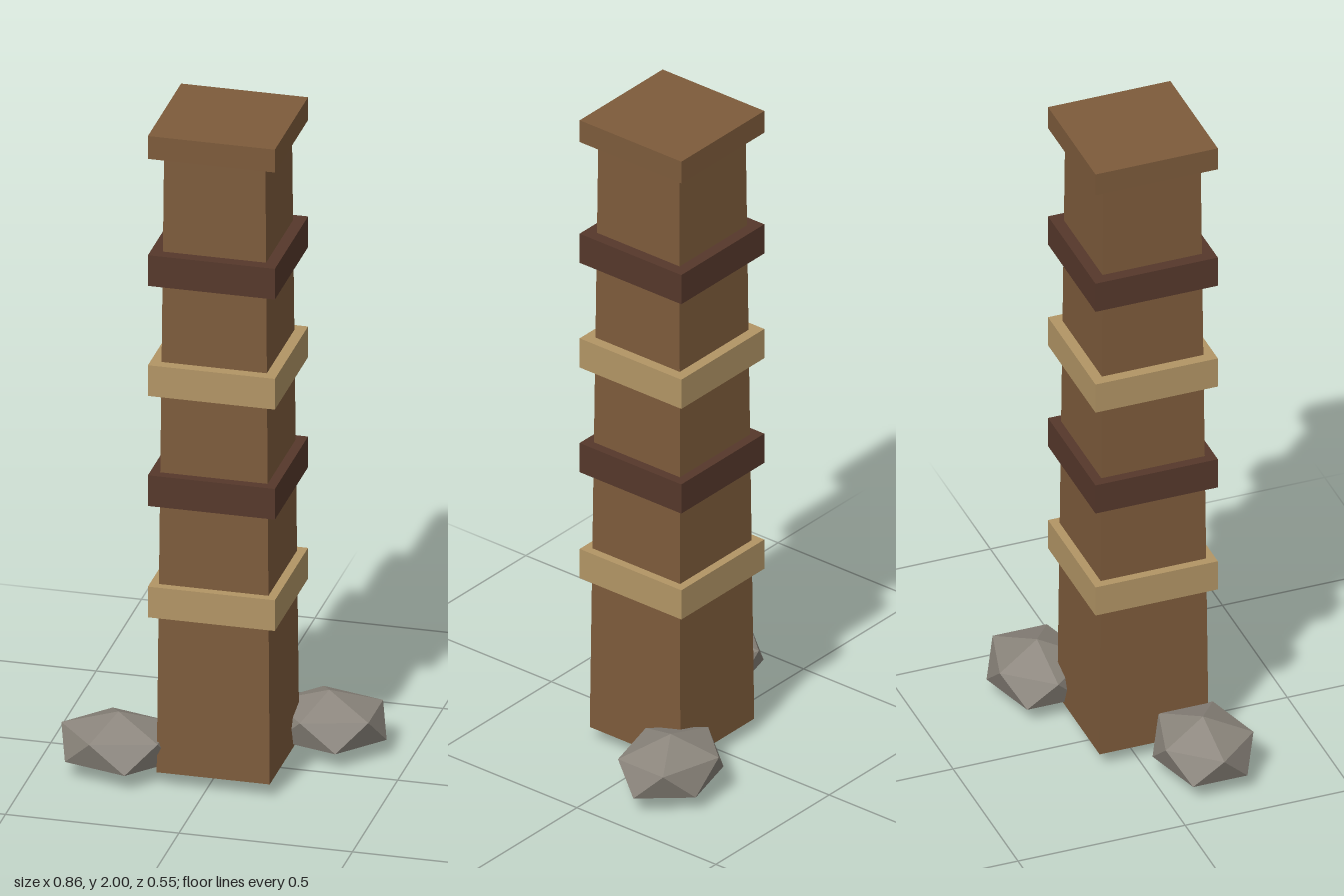
import * as THREE from 'three';
import { ConvexGeometry } from 'three/addons/geometries/ConvexGeometry.js';

export function createModel() {
  const group = new THREE.Group();
  const material = (name, color) => {
    const m = new THREE.MeshStandardMaterial({ color, flatShading: true });
    m.name = name;
    return m;
  };
  const wood = material('brown wood', 0x7d5b3b);
  const dark = material('dark wood', 0x56382b);
  const tan = material('tan wood', 0xb29565);
  const stone = material('grey stone', 0x8a847b);

  const add = (parent, name, geometry, mat, x, y, z) => {
    const mesh = new THREE.Mesh(geometry, mat);
    mesh.name = name;
    mesh.position.set(x, y, z);
    parent.add(mesh);
  };

  // Square pillar, set slightly off centre
  const pillar = new THREE.Group();
  pillar.name = 'pillar';
  pillar.position.set(0.023, 0, 0.047);
  group.add(pillar);

  // Tapered post: a four-sided cylinder turned square to the axes
  const bottom = 0.045, top = 1.94;
  const post = new THREE.CylinderGeometry(0.146 * Math.SQRT2, 0.163 * Math.SQRT2, top - bottom, 4)
    .rotateY(Math.PI / 4);
  add(pillar, 'post', post, wood, 0, (bottom + top) / 2, 0);

  // Cap and alternating bands
  const width = 0.366;
  add(pillar, 'cap', new THREE.BoxGeometry(width, 0.07, width), wood, 0, 1.965, 0);
  const band = new THREE.BoxGeometry(width, 0.094, width);
  [0.573, 0.914, 1.251, 1.588].forEach((y, i) => {
    add(pillar, i % 2 ? 'darkBand' : 'tanBand', band, i % 2 ? dark : tan, 0, y, 0);
  });

  // Flattened twenty-sided stones: two poles and two staggered rings of five
  const rx = 0.165, ry = 0.093, rz = 0.138;
  const points = [new THREE.Vector3(0, ry, 0), new THREE.Vector3(0, -ry, 0)];
  for (let i = 0; i < 5; i++) {
    const a = (i / 5) * Math.PI * 2;
    const x = rx * Math.cos(a), z = rz * Math.sin(a), y = ry * 0.447;
    points.push(new THREE.Vector3(-x, y, z), new THREE.Vector3(x, -y, z));
  }
  const rock = new ConvexGeometry(points);
  add(group, 'backLeftRock', rock, stone, 0.265, 0.095, -0.146);
  add(group, 'frontRightRock', rock, stone, -0.267, 0.095, 0.144);

  return group;
}
